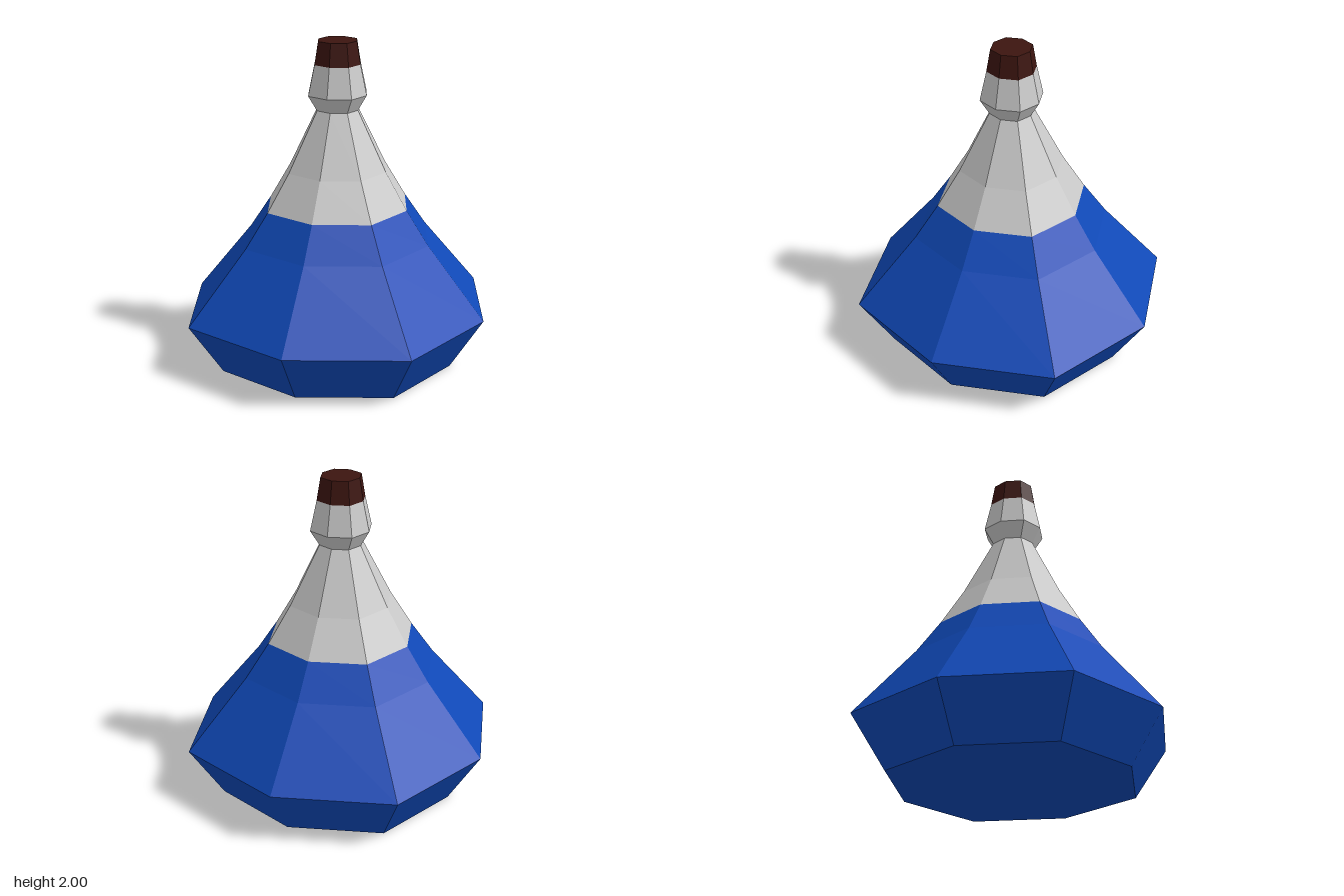
import * as THREE from 'three';

// Eight-sided ring surface from [radius, height] pairs, bottom to top
function facetedBand(name, color, profile) {
  const points = profile.map(([r, y]) => new THREE.Vector2(r, y));
  const geometry = new THREE.LatheGeometry(points, 8);
  const pos = geometry.attributes.position;
  // Diagonal corners sit slightly further out than the ones on the axes
  for (let i = 0; i < pos.count; i++) {
    const x = pos.getX(i), z = pos.getZ(i);
    if (Math.abs(x) > 1e-4 && Math.abs(z) > 1e-4) pos.setXYZ(i, x * 1.05, pos.getY(i), z * 1.05);
  }
  const material = new THREE.MeshStandardMaterial({ color, flatShading: true });
  const mesh = new THREE.Mesh(geometry, material);
  mesh.name = name;
  return mesh;
}

export function createModel() {
  const group = new THREE.Group();
  group.name = 'potionFlask';
  group.add(
    // Filled lower body with closed base
    facetedBand('liquidBody', 0x1049b8, [[0, 0], [0.74, 0], [0.945, 0.325], [0.585, 0.77], [0.445, 0.98]]),
    // Empty upper body, pinched neck and flared lip
    facetedBand('glassNeck', 0xcccccc, [[0.445, 0.98], [0.31, 1.21], [0.13, 1.58], [0.185, 1.675], [0.145, 1.86]]),
    // Stopper with closed top
    facetedBand('cork', 0x3c1510, [[0.145, 1.86], [0.122, 2], [0, 2]]),
  );
  return group;
}
